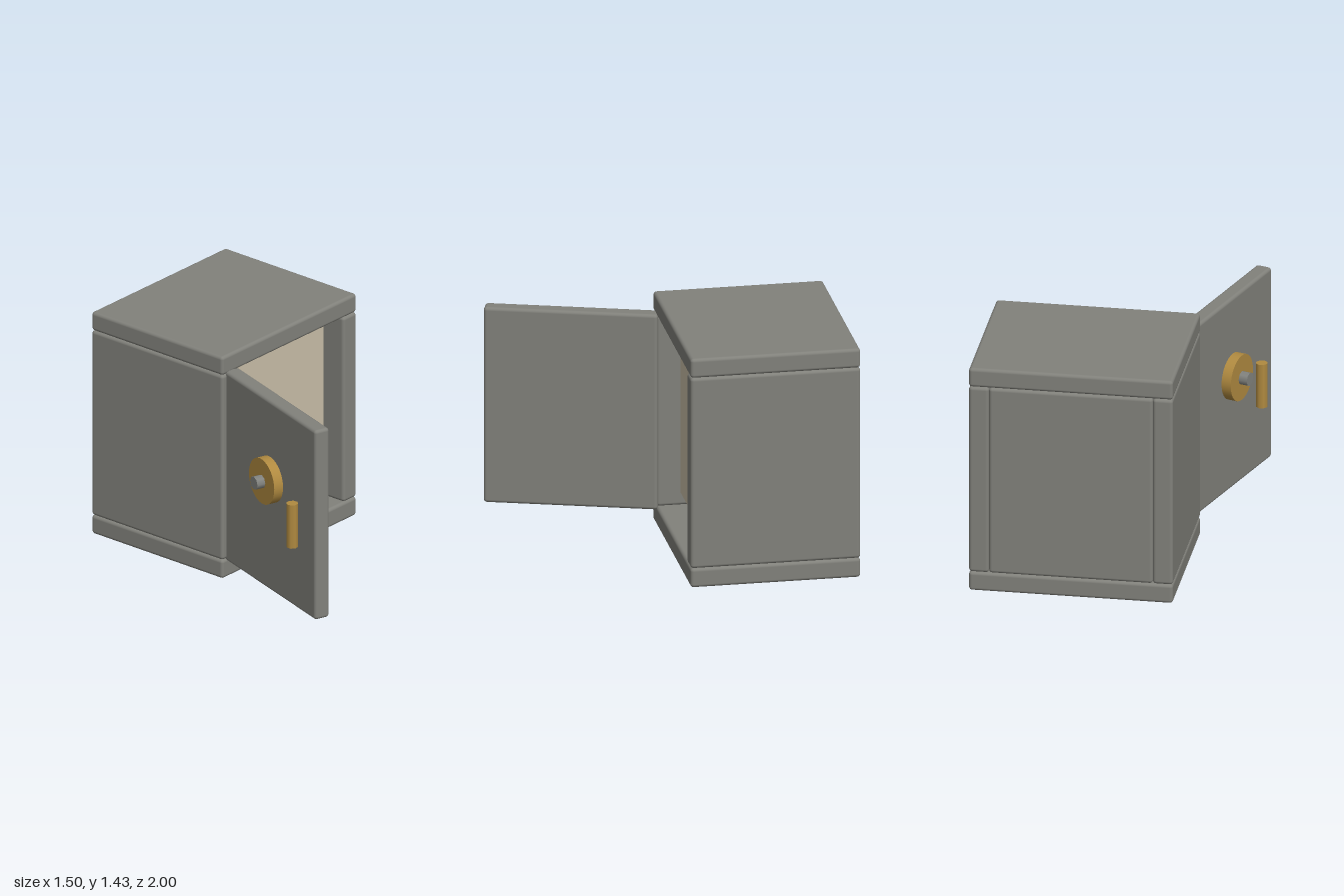
import * as THREE from 'three';
import { RoundedBoxGeometry } from 'three/addons/geometries/RoundedBoxGeometry.js';

const mat = (name, color) => Object.assign(new THREE.MeshStandardMaterial({ color }), { name });

export function createModel() {
  const steel = mat('steel grey', 0x81817b);
  const cream = mat('cream', 0xcabfa8);
  const brass = mat('brass', 0xb08a40);
  const hubGrey = mat('hub grey', 0x82837f);

  const add = (parent, name, geometry, material, x, y, z) => {
    const mesh = new THREE.Mesh(geometry, material);
    mesh.name = name;
    mesh.position.set(x, y, z);
    parent.add(mesh);
    return mesh;
  };
  const slab = (w, h, d) => new RoundedBoxGeometry(w, h, d, 3, 0.02);

  const safe = new THREE.Group();
  safe.name = 'safe';

  // Shell: thick slabs with softened edges
  const cx = 0.135, cz = -0.49, wall = 0.12;
  const W = 1.22, H = 1.434, D = 1.02;
  for (const [name, y] of [['bottomSlab', wall / 2], ['topSlab', H - wall / 2]])
    add(safe, name, slab(W, wall, D), steel, cx, y, cz);
  for (const [name, s] of [['leftWall', 1], ['rightWall', -1]])
    add(safe, name, slab(wall, H - 2 * wall, D), steel, cx + s * (W - wall) / 2, H / 2, cz);
  add(safe, 'backWall', slab(W - 2 * wall, H - 2 * wall, wall), steel, cx, H / 2, cz - (D - wall) / 2);

  // Inner compartment block
  add(safe, 'compartment', new THREE.BoxGeometry(0.94, 1.02, 0.74), cream, cx, H / 2, cz);

  // Open door: local x runs from hinge to free edge, local z points outward
  const door = new THREE.Group();
  door.name = 'door';
  door.position.set(-0.54, H / 2, 0.497);
  door.rotation.y = THREE.MathUtils.degToRad(-108);
  safe.add(door);
  add(door, 'doorPanel', slab(1.035, 1.224, 0.1), steel, 0, 0, 0);

  // Dial, its hub and the upright handle
  const dial = add(door, 'dial', new THREE.CylinderGeometry(0.143, 0.143, 0.07, 32), brass, 0.01, 0.11, 0.076);
  const hub = add(door, 'dialHub', new THREE.CylinderGeometry(0.042, 0.042, 0.06, 8), hubGrey, 0.01, 0.11, 0.135);
  dial.rotation.x = hub.rotation.x = Math.PI / 2;
  add(door, 'handle', new THREE.CylinderGeometry(0.036, 0.036, 0.28, 8), brass, 0.315, -0.06, 0.086);

  return safe;
}
